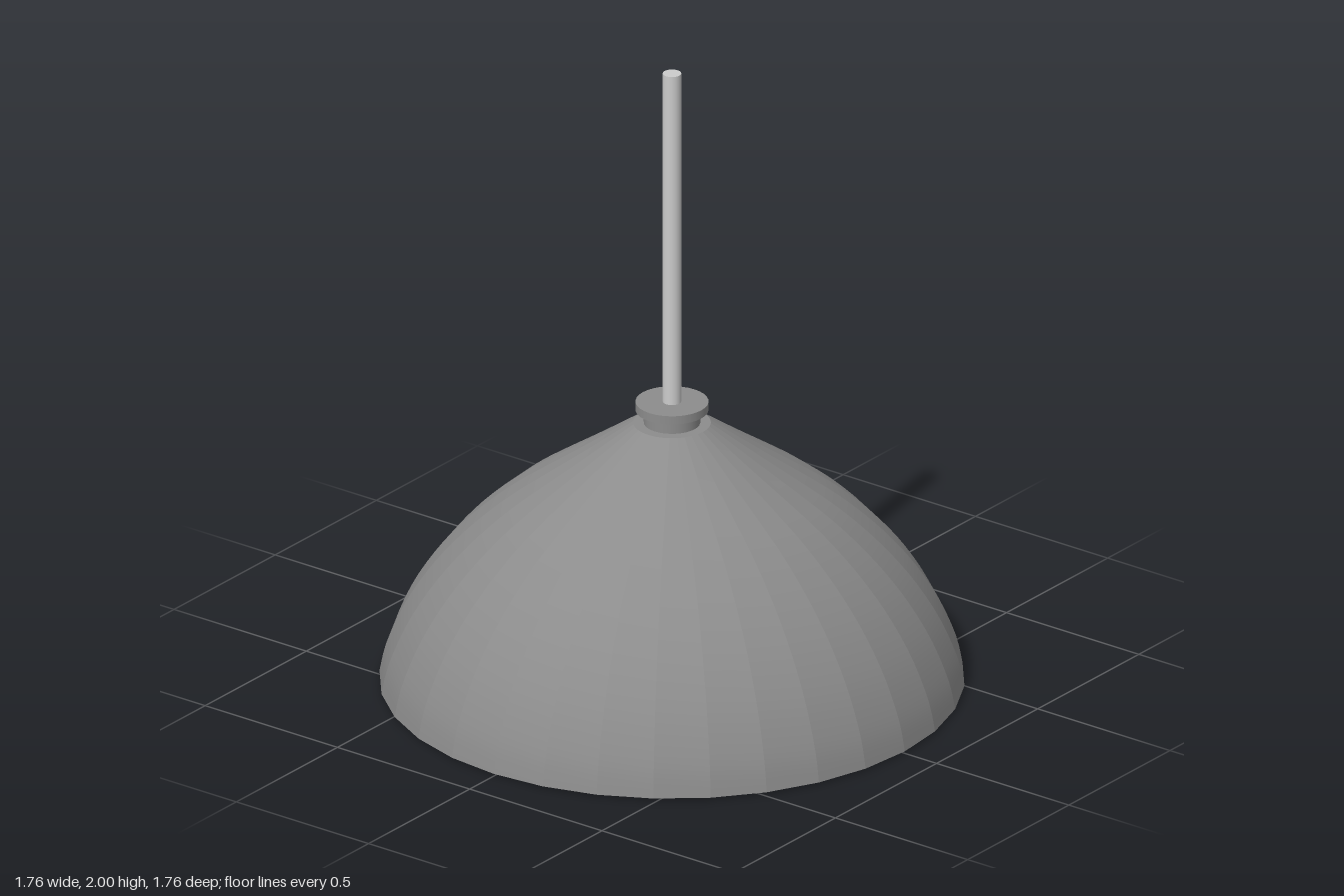
import * as THREE from 'three';
import { toCreasedNormals } from 'three/addons/utils/BufferGeometryUtils.js';

const SIDES = 32;
const WALL = 0.03;
const CREASE = 0.1;

export function createModel() {
  const model = new THREE.Group();
  const rodGrey = new THREE.MeshStandardMaterial({ color: 0xcccccc });
  const liningGrey = new THREE.MeshStandardMaterial({ color: 0xaaaaaa });
  const shadeGrey = new THREE.MeshStandardMaterial({ color: 0x8c8c8c });

  const add = (name, geometry, material) => {
    const mesh = new THREE.Mesh(geometry, material);
    mesh.name = name;
    model.add(mesh);
  };
  const rod = (name, radius, bottom, top, material) => {
    const geometry = new THREE.CylinderGeometry(radius, radius, top - bottom, SIDES);
    geometry.translate(0, (bottom + top) / 2, 0);
    add(name, geometry, material);
  };
  const lathe = (name, profile, material) =>
    add(name, toCreasedNormals(new THREE.LatheGeometry(profile, SIDES), CREASE), material);

  // Bell profile from rim to shoulder
  const outer = new THREE.SplineCurve([
    [0.88, 0.007], [0.859, 0.1], [0.805, 0.228], [0.73, 0.348], [0.65, 0.445],
    [0.57, 0.524], [0.49, 0.591], [0.4, 0.655], [0.26, 0.75], [0.117, 0.85],
  ].map(([r, y]) => new THREE.Vector2(r, y)));

  // Inner wall is the outer one moved inward along its normal
  const outside = [], inside = [];
  const steps = 28;
  for (let i = 0; i <= steps; i++) {
    const p = outer.getPoint(i / steps);
    const t = outer.getTangent(i / steps);
    outside.push(p);
    inside.push(new THREE.Vector2(p.x - t.y * WALL, Math.max(0, p.y + t.x * WALL)));
  }

  // Outer shell with a flat top
  lathe('shade', [...outside, new THREE.Vector2(0, 0.85)], shadeGrey);

  // Lining: inner crown, inner wall and the slanted rim
  const crown = new THREE.Vector2(0, inside[steps].y);
  lathe('shadeLining', [crown, ...inside.reverse(), outside[0]], liningGrey);

  // Fitting and suspension rod
  rod('collarNeck', 0.085, 0.84, 0.9, shadeGrey);
  rod('collarFlange', 0.11, 0.892, 0.919, shadeGrey);
  rod('suspensionRod', 0.028, 0.91, 2, rodGrey);

  return model;
}
